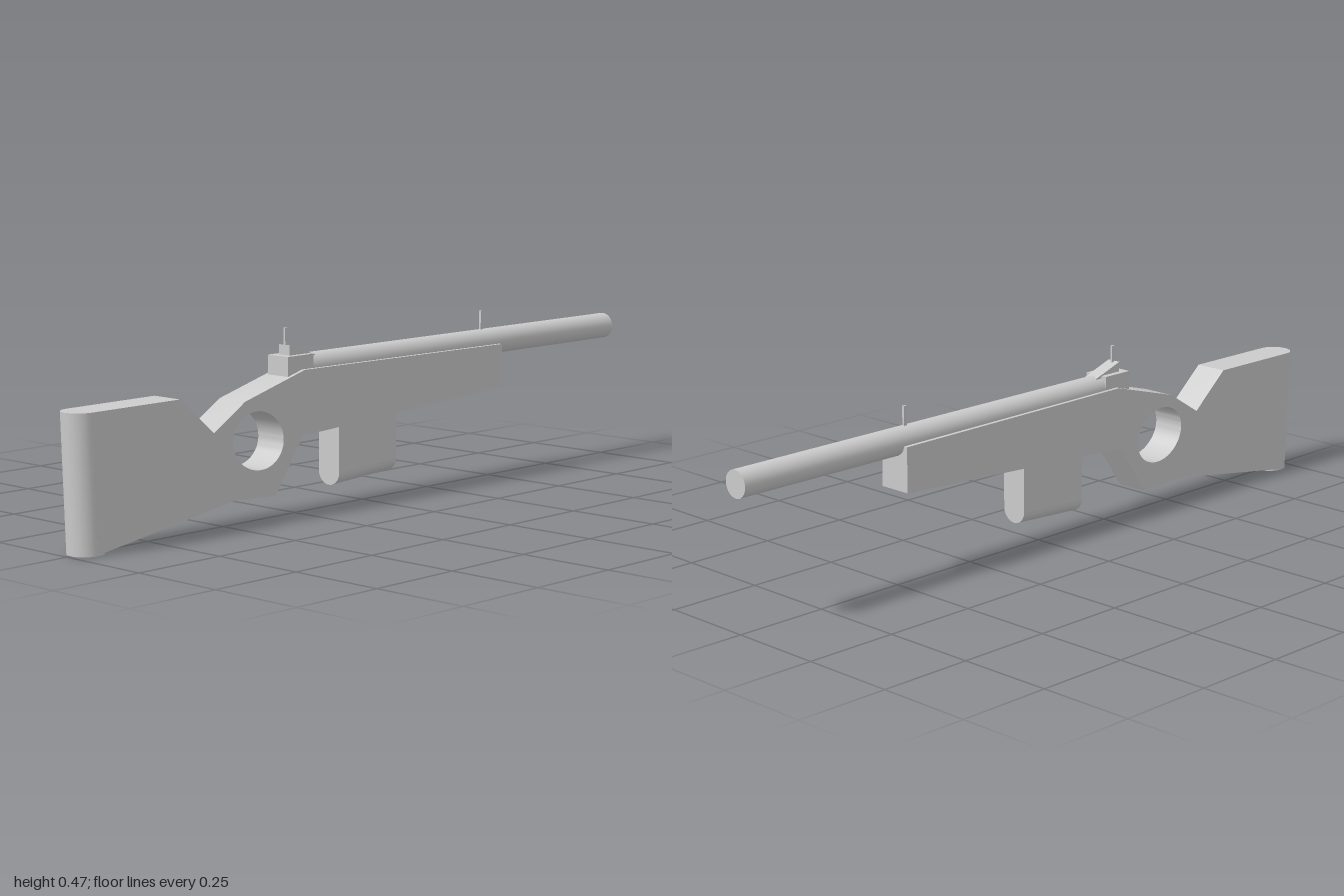
import * as THREE from 'three';
import { toCreasedNormals } from 'three/addons/utils/BufferGeometryUtils.js';

const material = new THREE.MeshStandardMaterial({ color: 0xcccccc });

export function createModel() {
  const model = new THREE.Group();
  model.name = 'rifle';

  const add = (name, geometry, x = 0, y = 0, z = 0) => {
    const mesh = new THREE.Mesh(geometry, material);
    mesh.name = name;
    mesh.position.set(x, y, z);
    model.add(mesh);
    return mesh;
  };
  const outline = (points) => new THREE.Shape(points.map(([a, b]) => new THREE.Vector2(a, b)));

  // Side profile given as (z, y), extruded across x
  const sideExtrude = (shape, width) => {
    const g = new THREE.ExtrudeGeometry(shape, { depth: width, bevelEnabled: false, curveSegments: 32 });
    g.translate(0, 0, -width / 2);
    g.rotateY(-Math.PI / 2);
    return toCreasedNormals(g, 0.5);
  };

  // Stock with thumbhole
  const stock = outline([
    [0.943, 0.002], [0.955, 0.339], [0.68, 0.34], [0.57, 0.246], [0.465, 0.311], [0.257, 0.369],
    [-0.503, 0.364], [-0.503, 0.247], [0.265, 0.203], [0.362, 0.064], [0.5, 0.071],
  ]);
  const hole = new THREE.Path();
  hole.absellipse(0.42, 0.209, 0.088, 0.073, 0, Math.PI * 2, true, 0.25);
  stock.holes.push(hole);
  add('stock', sideExtrude(stock, 0.09));

  // Rounded butt, leaning slightly backward at the top
  const butt = new THREE.CylinderGeometry(0.045, 0.045, 0.339, 32);
  butt.applyMatrix4(new THREE.Matrix4().set(
    1, 0, 0, 0,
    0, 1, 0, 0.1695,
    0, 0.035, 1, 0.949,
    0, 0, 0, 1));
  add('buttEnd', butt);

  // Barrel
  const barrel = new THREE.CylinderGeometry(0.035, 0.035, 1.23, 32);
  barrel.rotateX(Math.PI / 2);
  add('barrel', barrel, 0, 0.369, -0.385);

  // Magazine: rounded bottom, sloping gently along its length
  const r = 0.036;
  const section = new THREE.Shape();
  section.moveTo(r, 0.24);
  section.lineTo(-r, 0.24);
  section.lineTo(-r, 0.062 + r);
  section.absarc(0, 0.062 + r, r, Math.PI, Math.PI * 2, false);
  section.lineTo(r, 0.24);
  const magazine = new THREE.ExtrudeGeometry(section, { depth: 0.215, bevelEnabled: false, curveSegments: 16 });
  magazine.translate(0, 0, -0.09);
  magazine.applyMatrix4(new THREE.Matrix4().set(
    1, 0, 0, 0,
    0, 1, -0.06, 0,
    0, 0, 1, 0,
    0, 0, 0, 1));
  add('magazine', toCreasedNormals(magazine, 0.5));

  // Rear sight: base block, ramp and post
  add('rearSightBase', new THREE.BoxGeometry(0.07, 0.05, 0.09), 0, 0.38, 0.262);
  add('rearSightRamp', sideExtrude(outline([[0.285, 0.39], [0.285, 0.431], [0.195, 0.4], [0.195, 0.39]]), 0.038));
  add('rearSightPost', new THREE.BoxGeometry(0.006, 0.063, 0.01), 0, 0.4415, 0.279);

  // Front sight
  add('frontSight', new THREE.BoxGeometry(0.006, 0.06, 0.01), 0, 0.424, -0.468);

  return model;
}
